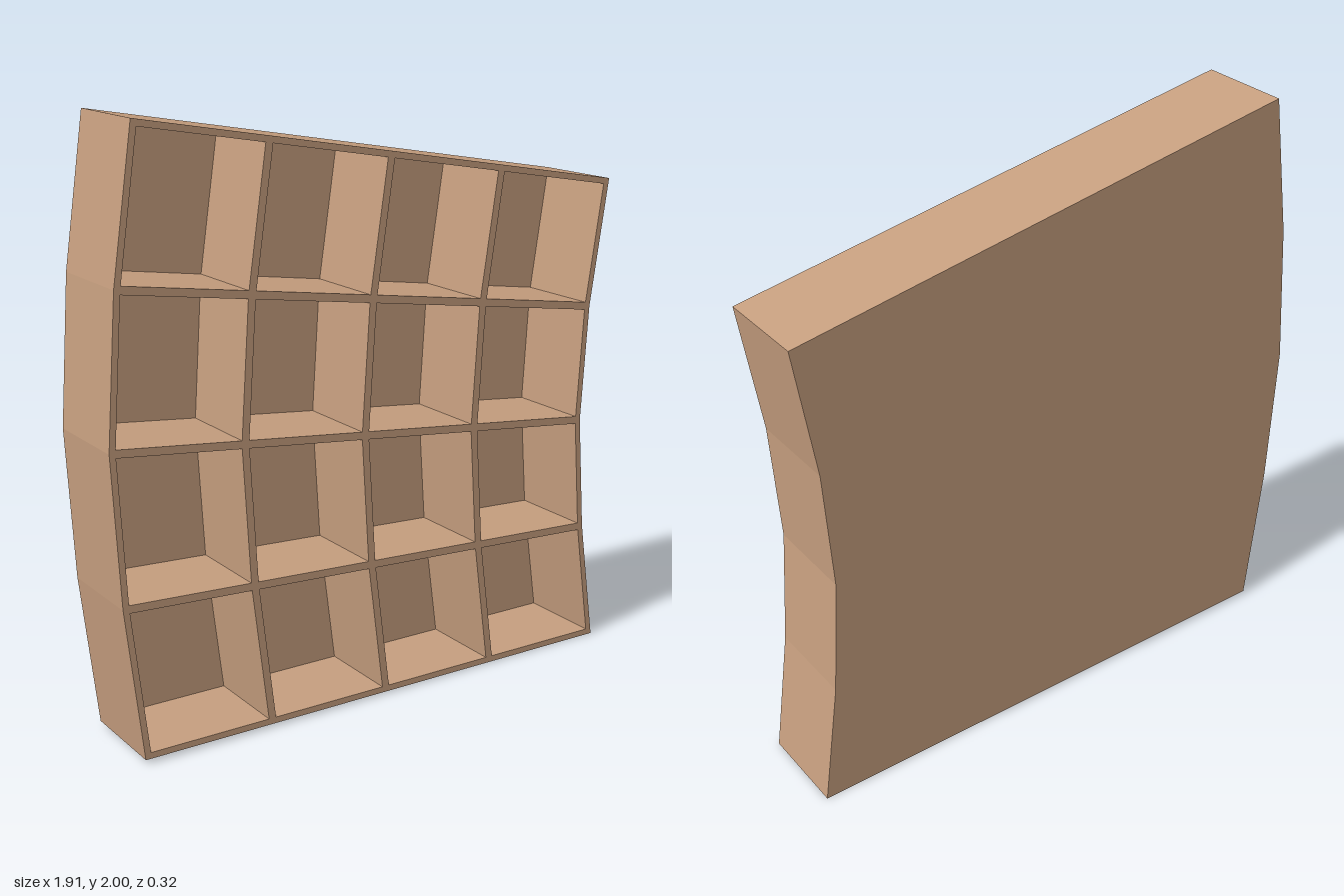
import * as THREE from 'three';

const HALF_DEPTH = 0.162, PANEL = 0.025;
const RIM = 0.021, DIVIDER = 0.013; // rim thickness, half divider thickness

// Bent side edges, top to bottom, and the column positions between them
const sideA = [[-0.853, 2], [-0.925, 1.515], [-0.96, 1.028], [-0.935, 0.53], [-0.877, 0.015]];
const sideB = [[0.953, 1.685], [0.886, 1.245], [0.862, 0.837], [0.892, 0.434], [0.955, 0]];
const columns = [0, 0.253, 0.498, 0.741, 1];
const toVec = ([x, y]) => new THREE.Vector2(x, y);
const node = (row, col) => toVec(sideA[row]).lerp(toVec(sideB[row]), columns[col]);

// Moves each edge of a counter-clockwise quad inwards by its own distance
function insetQuad(corners, distances) {
  const lines = corners.map((p, i) => {
    const d = corners[(i + 1) % 4].clone().sub(p).normalize();
    return { p: new THREE.Vector2(-d.y, d.x).multiplyScalar(distances[i]).add(p), d };
  });
  return lines.map((b, i) => {
    const a = lines[(i + 3) % 4];
    const t = b.p.clone().sub(a.p).cross(b.d) / a.d.cross(b.d);
    return a.p.clone().addScaledVector(a.d, t);
  });
}

export function createModel() {
  const group = new THREE.Group();
  group.name = 'cubbyShelf';
  const wood = new THREE.MeshStandardMaterial({ color: 0xc8a080 });
  const outline = [...sideA, ...[...sideB].reverse()].map(toVec);

  const addSlab = (name, shape, z, depth) => {
    const geometry = new THREE.ExtrudeGeometry(shape, { depth, bevelEnabled: false });
    const mesh = new THREE.Mesh(geometry.translate(0, 0, z), wood);
    mesh.name = name;
    group.add(mesh);
  };

  // Outer walls and dividers: one outline with a hole for every compartment
  const frame = new THREE.Shape(outline);
  for (let r = 0; r < 4; r++) {
    for (let c = 0; c < 4; c++) {
      const corners = [node(r, c), node(r + 1, c), node(r + 1, c + 1), node(r, c + 1)];
      const distances = [c === 0, r === 3, c === 3, r === 0].map((outer) => (outer ? RIM : DIVIDER));
      frame.holes.push(new THREE.Path(insetQuad(corners, distances)));
    }
  }
  addSlab('shelfFrame', frame, -HALF_DEPTH + PANEL, 2 * HALF_DEPTH - PANEL);

  // Closed back
  addSlab('backPanel', new THREE.Shape(outline), -HALF_DEPTH, PANEL);
  return group;
}
